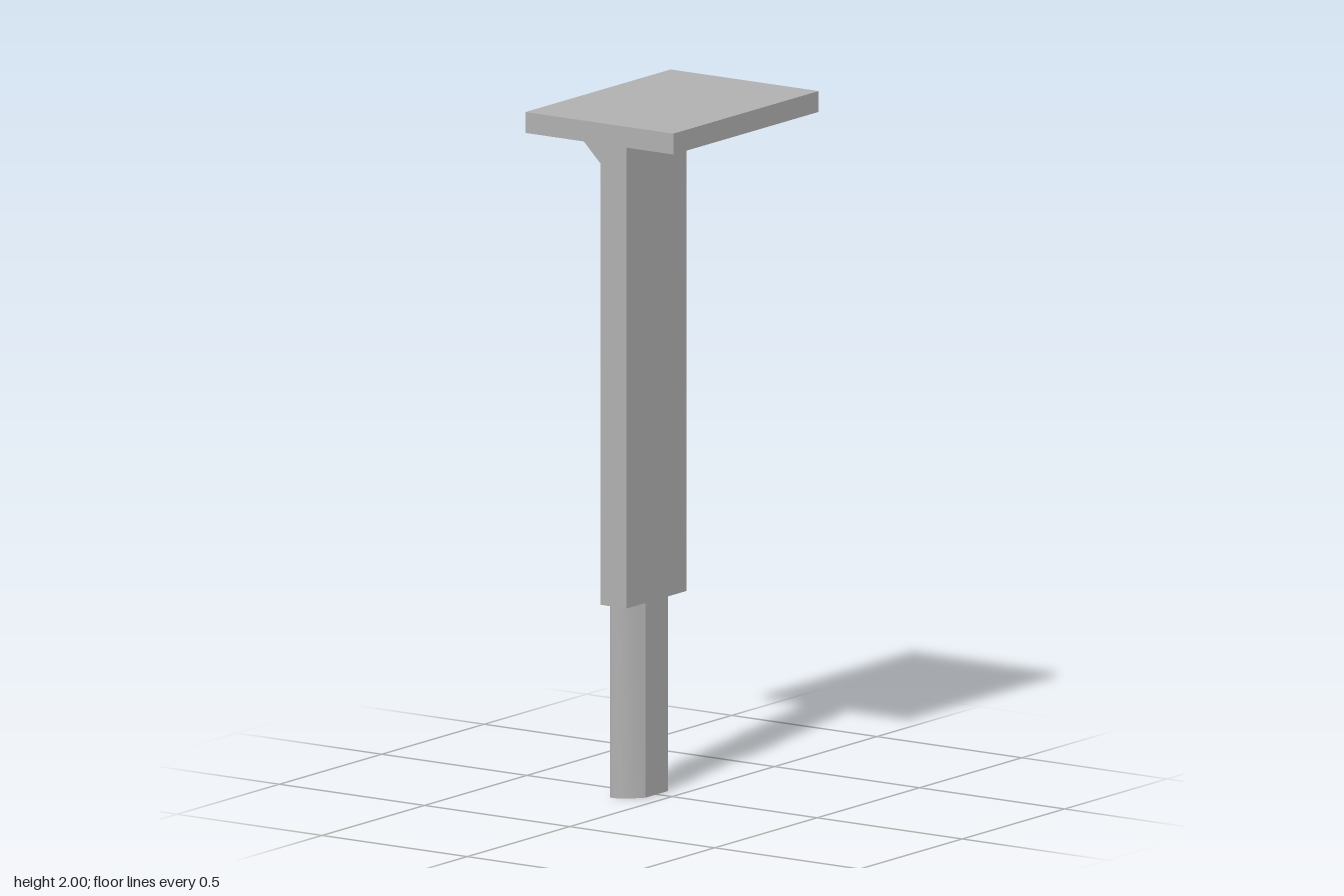
import * as THREE from 'three';
import { toCreasedNormals } from 'three/addons/utils/BufferGeometryUtils.js';

export function createModel() {
  const model = new THREE.Group();
  model.name = 'postWithTopPlate';
  const grey = new THREE.MeshStandardMaterial({ color: 0xb0b0b0 });
  grey.name = 'grey';

  const add = (name, geometry, x = 0, y = 0, z = 0) => {
    const mesh = new THREE.Mesh(geometry, grey);
    mesh.name = name;
    mesh.position.set(x, y, z);
    model.add(mesh);
  };
  const extrude = (points, depth) => new THREE.ExtrudeGeometry(
    new THREE.Shape(points.map(([a, b]) => new THREE.Vector2(a, b))),
    { depth, bevelEnabled: false });

  const FRONT = -0.053, BACK = -0.143, SHOULDER = 0.56, PLATE = 1.94;

  // Flat plate on top
  add('topPlate', new THREE.BoxGeometry(0.71, 0.06, 0.51), 0, 1.97, 0);

  // Wide upper post
  add('post', new THREE.BoxGeometry(0.294, PLATE - SHOULDER, FRONT - BACK),
    0, (PLATE + SHOULDER) / 2, (FRONT + BACK) / 2);

  // Narrow tang: flat front and back, rounded sides; outline is (x, -z)
  const side = [[0.055, 0.053], [0.085, 0.076], [0.106, 0.104],
    [0.112, 0.124], [0.109, 0.136], [0.097, 0.143]];
  const outline = [...side, ...side.map(([x, z]) => [-x, z]).reverse()];
  const tang = extrude(outline, SHOULDER).rotateX(-Math.PI / 2);
  add('tang', toCreasedNormals(tang, 0.6));

  // Triangular brackets under the rear overhang, flush with the post sides
  const width = 0.07;
  for (const [name, right] of [['leftBracket', 0.147], ['rightBracket', -0.147 + width]]) {
    const bracket = extrude([[BACK, PLATE], [-0.255, PLATE], [BACK, 1.83]], width)
      .rotateY(-Math.PI / 2);
    add(name, bracket, right, 0, 0);
  }
  return model;
}
